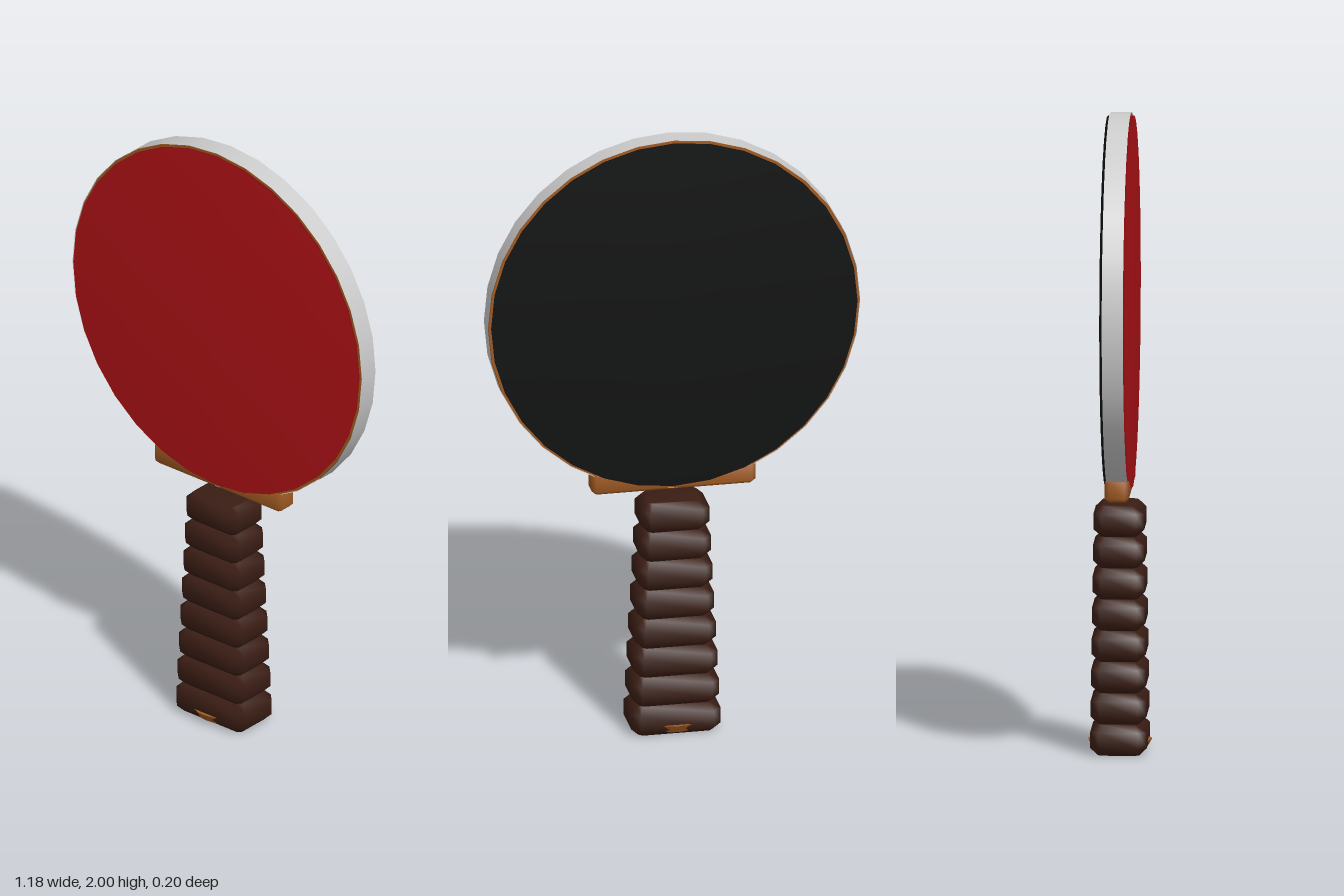
import * as THREE from 'three';
import { mergeVertices } from 'three/addons/utils/BufferGeometryUtils.js';

const material = (color) => new THREE.MeshStandardMaterial({ color });
const SIDES = 32;
const HEAD_Y = 1.41;

// Shares the vertices so that shading runs smoothly over the edges.
function smooth(geometry) {
  geometry.deleteAttribute('normal');
  geometry.deleteAttribute('uv');
  geometry.clearGroups();
  const merged = mergeVertices(geometry, 1e-4);
  merged.computeVertexNormals();
  return merged;
}

// Block with every edge bevelled, standing on y = 0.
function bevelledBlock(width, height, depth, corner, bevel) {
  const x = width / 2 - bevel;
  const z = depth / 2 - bevel;
  const outline = [
    [x - corner, -z], [x, -z + corner], [x, z - corner], [x - corner, z],
    [-x + corner, z], [-x, z - corner], [-x, -z + corner], [-x + corner, -z],
  ].map(([a, b]) => new THREE.Vector2(a, b));
  const geometry = new THREE.ExtrudeGeometry(new THREE.Shape(outline), {
    depth: height - 2 * bevel,
    bevelEnabled: true,
    bevelThickness: bevel,
    bevelSize: bevel,
    bevelSegments: 1,
  });
  geometry.translate(0, 0, bevel).rotateX(-Math.PI / 2);
  return smooth(geometry);
}

// Round plate facing z.
function plate(radius, thickness, open = false) {
  return new THREE.CylinderGeometry(radius, radius, thickness, SIDES, 1, open).rotateX(Math.PI / 2);
}

export function createModel() {
  const model = new THREE.Group();
  model.name = 'paddle';
  const wood = material(0xa05a22);
  const leather = material(0x3a1d14);
  const edge = material(0xcccccc);
  edge.side = THREE.DoubleSide;

  function add(name, geometry, mat, y, z = 0, parent = model) {
    const mesh = new THREE.Mesh(geometry, mat);
    mesh.name = name;
    mesh.position.set(0, y, z);
    parent.add(mesh);
    return mesh;
  }

  // Blade: wooden core, edge band and a rubber sheet on each face
  add('bladeCore', plate(0.588, 0.064), wood, HEAD_Y);
  add('edgeBand', plate(0.59, 0.066, true), edge, HEAD_Y);
  add('frontRubber', smooth(plate(0.58, 0.02)), material(0xb01216), HEAD_Y, 0.031);
  add('backRubber', smooth(plate(0.58, 0.02)), material(0x111212), HEAD_Y, -0.031);

  // Wooden shoulder under the blade
  add('shoulder', bevelledBlock(0.52, 0.075, 0.076, 0.006, 0.012), wood, 0.815);

  // Grip: stacked wraps that widen towards the bottom
  const grip = new THREE.Group();
  grip.name = 'grip';
  model.add(grip);
  const wraps = 8;
  const pitch = 0.78 / wraps;
  for (let i = 0; i < wraps; i++) {
    const t = 1 - i / (wraps - 1);
    const width = 0.216 + 0.068 * t;
    const depth = 0.158 + 0.018 * t;
    add('gripWrap', bevelledBlock(width, pitch, depth, 0.012, 0.024), leather, i * pitch, 0, grip);
  }

  // Wooden butt disc showing through the lowest wrap
  add('buttDisc', new THREE.CylinderGeometry(0.1, 0.085, 0.026, 24), wood, 0.025);

  return model;
}
